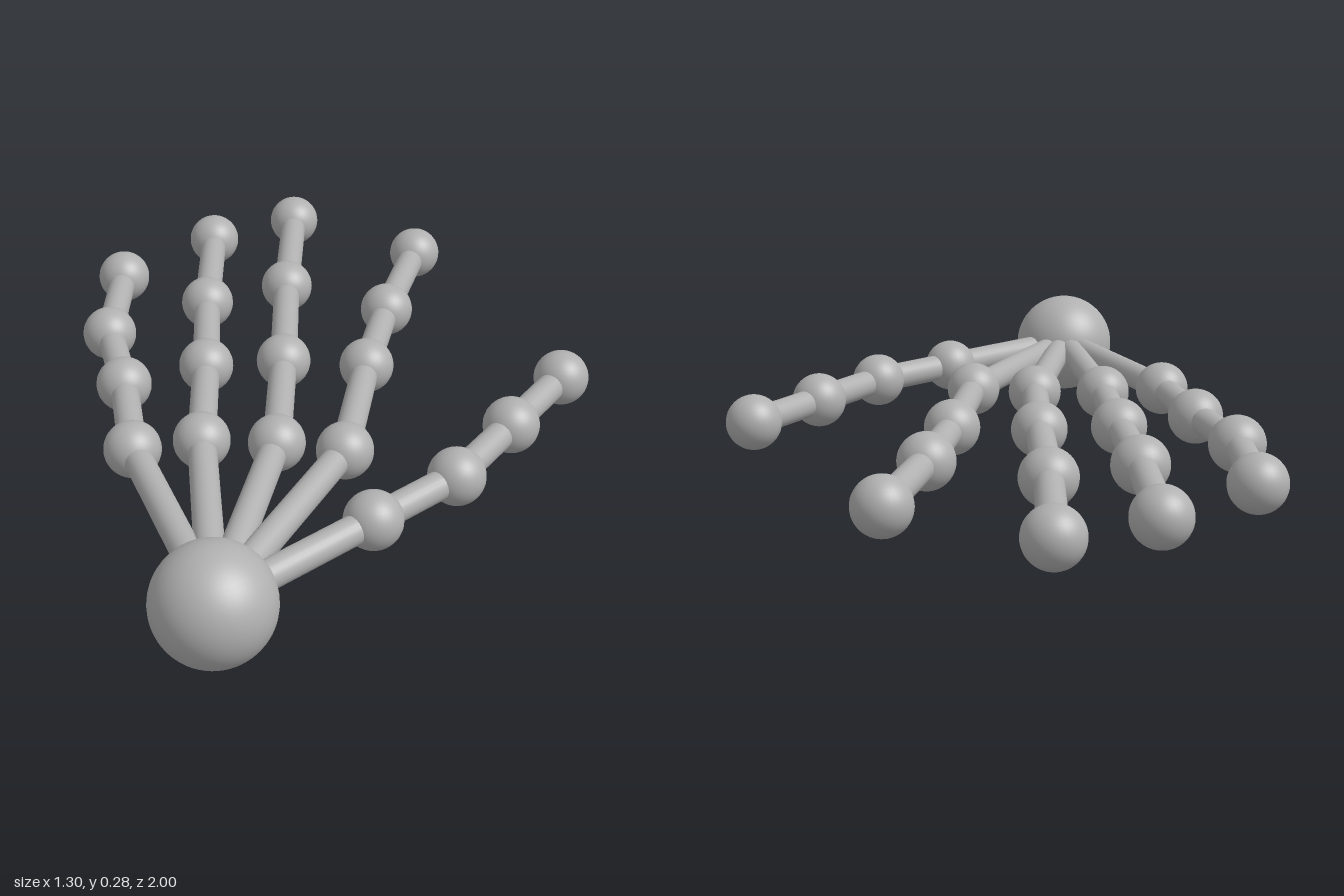
import * as THREE from 'three';

const HEIGHT = 0.1375;
const WRIST = [-0.225, 0.8625];

// Joint centres [x, z] of each finger, from knuckle to tip
const FINGERS = {
  thumb: [[0.106, 0.563], [0.297, 0.389], [0.437, 0.169], [0.577, -0.053]],
  indexFinger: [[0.04, 0.287], [0.09, -0.103], [0.143, -0.397], [0.225, -0.73]],
  middleFinger: [[-0.121, 0.257], [-0.121, -0.122], [-0.129, -0.524], [-0.124, -0.9315]],
  ringFinger: [[-0.299, 0.25], [-0.316, -0.095], [-0.339, -0.426], [-0.349, -0.804]],
  littleFinger: [[-0.458, 0.291], [-0.513, 0], [-0.581, -0.254], [-0.581, -0.571]],
};

export function createModel() {
  const hand = new THREE.Group();
  hand.name = 'skeletalHand';
  const grey = new THREE.MeshStandardMaterial({ color: 0xb0b0b0 });
  grey.name = 'grey';

  const jointGeometry = new THREE.SphereGeometry(0.0685, 32, 24);
  const boneGeometry = new THREE.CylinderGeometry(0.0345, 0.0345, 1, 24);
  const up = new THREE.Vector3(0, 1, 0);
  const point = ([x, z]) => new THREE.Vector3(x, HEIGHT, z);

  function addMesh(parent, name, geometry, position) {
    const mesh = new THREE.Mesh(geometry, grey);
    mesh.name = name;
    mesh.position.copy(position);
    parent.add(mesh);
    return mesh;
  }

  // Wrist ball
  addMesh(hand, 'wrist', new THREE.SphereGeometry(0.1375, 48, 32), point(WRIST));

  // Each finger is a chain of bones running from the wrist through its joints
  for (const [name, joints] of Object.entries(FINGERS)) {
    const finger = new THREE.Group();
    finger.name = name;
    let start = point(WRIST);
    joints.forEach((joint, i) => {
      const end = point(joint);
      const span = end.clone().sub(start);
      const middle = start.clone().add(end).multiplyScalar(0.5);
      const bone = addMesh(finger, `${name}Bone${i + 1}`, boneGeometry, middle);
      bone.scale.y = span.length();
      bone.quaternion.setFromUnitVectors(up, span.normalize());
      addMesh(finger, `${name}Joint${i + 1}`, jointGeometry, end);
      start = end;
    });
    hand.add(finger);
  }
  return hand;
}
